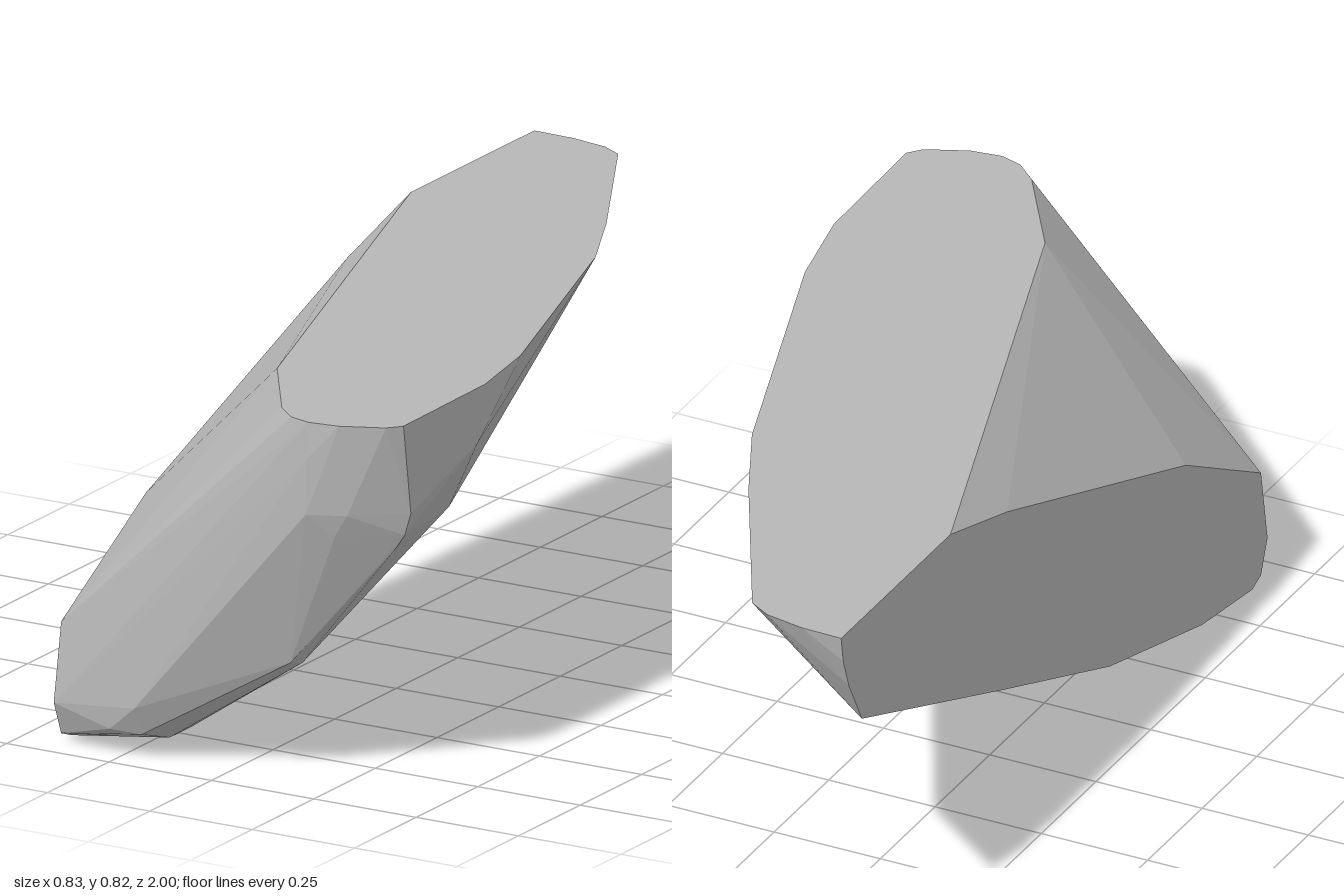
import * as THREE from 'three';
import { ConvexGeometry } from 'three/addons/geometries/ConvexGeometry.js';

const TOP = 0.82, CUT = -0.415;

// Flat sawn top, as [x, z]
const topOutline = [
  [CUT, -1], [-0.32, -0.997], [-0.23, -0.98], [-0.18, -0.95], [0.05, -0.52], [0.15, -0.31],
  [0.37, 0.36], [0.41, 0.57], [0.415, 0.91], [0.39, 0.94], [0.3, 0.98], [0.23, 0.99],
  [0.18, 0.975], [0.13, 0.93], [-0.02, 0.7], [CUT, -0.5],
];

// Flat cut on the right-hand end, as [y, z]
const sideOutline = [
  [0.76, -0.99], [0.69, -0.965], [0.58, -0.905], [0.32, -0.24], [0.14, 0.23], [0.03, 0.65],
  [0, 0.88], [0.015, 0.92], [0.09, 0.95], [0.26, 0.92], [0.45, 0.576], [0.745, -0.24],
];

// Worn corners of the rough faces, as [x, y, z]
const corners = [
  // front
  [-0.2, 0.12, 0.98], [-0.27, 0.06, 0.965], [-0.2, 0.055, 0.95], [0.23, 0.62, 1], [0.23, 0.74, 0.998],
  // lower ridge
  [-0.18, 0.03, 0.78], [-0.18, 0.03, 0.87], [0.15, 0.25, 0.88], [0.145, 0.26, 0.92],
  // outer side
  [0.31, 0.62, 0.965], [0.28, 0.57, 0.965], [0.38, 0.54, 0.88], [0.4, 0.57, 0.88],
  [0.415, 0.62, 0.88], [0.31, 0.53, 0.55], [0.41, 0.7, 0.6],
];

export function createModel() {
  const stone = new THREE.MeshStandardMaterial({ color: 0xb6b6b6, flatShading: true });
  stone.name = 'grey stone';

  const points = [
    ...topOutline.map(([x, z]) => new THREE.Vector3(x, TOP, z)),
    ...sideOutline.map(([y, z]) => new THREE.Vector3(CUT, y, z)),
    ...corners.map((p) => new THREE.Vector3(...p)),
  ];
  const rock = new THREE.Mesh(new ConvexGeometry(points), stone);
  rock.name = 'rockShard';

  const group = new THREE.Group();
  group.name = 'rock';
  group.add(rock);
  return group;
}
